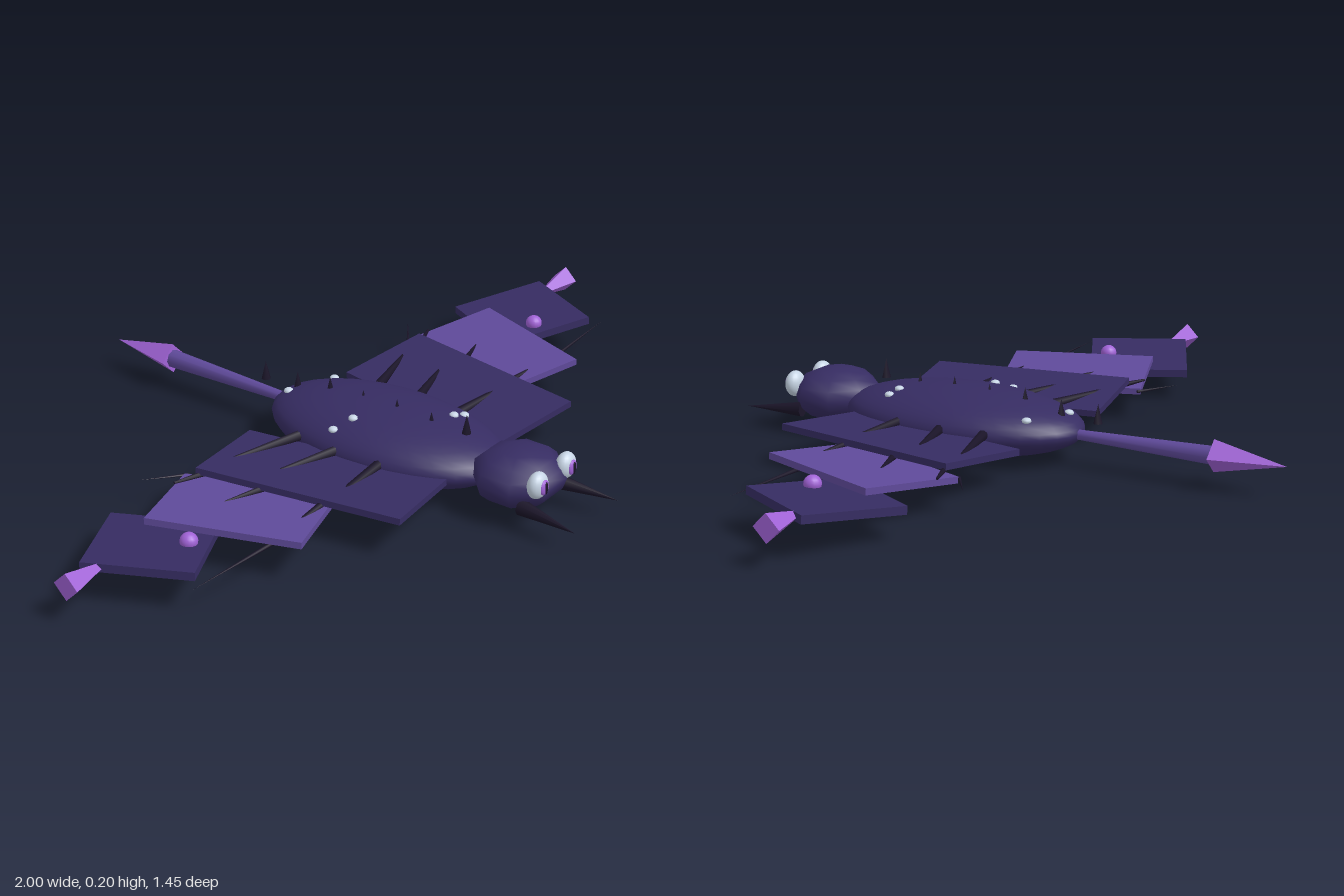
import * as THREE from 'three';

const mat = (name, color) => {
  const m = new THREE.MeshStandardMaterial({ color });
  m.name = name;
  return m;
};

export function createModel() {
  const model = new THREE.Group();
  model.name = 'wingedRay';
  const skin = mat('darkViolet', 0x362c62);
  const membrane = mat('midViolet', 0x5f4a9a);
  const accent = mat('brightPurple', 0xa062d6);
  const thorn = mat('nearBlack', 0x1a1428);
  const pale = mat('paleGrey', 0xc6d4e4);

  const add = (name, geo, material, pos = [0, 0, 0]) => {
    const mesh = new THREE.Mesh(geo, material);
    mesh.name = name;
    mesh.position.set(...pos);
    model.add(mesh);
    return mesh;
  };
  const ellipsoid = (name, material, pos, radii, w = 32, h = 20) => {
    const mesh = add(name, new THREE.SphereGeometry(1, w, h), material, pos);
    mesh.scale.set(...radii);
    return mesh;
  };
  // Tapered rod running from point a (radius ra) to point b (radius rb)
  const rod = (name, material, a, b, ra, rb, sides = 8) => {
    const start = new THREE.Vector3(...a), end = new THREE.Vector3(...b);
    const dir = end.clone().sub(start);
    let geo = new THREE.CylinderGeometry(rb, ra, dir.length(), sides);
    if (sides < 6) {
      geo = geo.toNonIndexed();
      geo.computeVertexNormals();
    }
    const mesh = add(name, geo, material, start.add(end).multiplyScalar(0.5).toArray());
    mesh.quaternion.setFromUnitVectors(new THREE.Vector3(0, 1, 0), dir.normalize());
    return mesh;
  };

  // Body, throat patch and head
  ellipsoid('body', skin, [0, 0.085, 0.137], [0.18, 0.08, 0.325]);
  ellipsoid('throatPatch', membrane, [0, 0.025, 0.31], [0.085, 0.012, 0.035], 20, 12);
  const headGeo = new THREE.SphereGeometry(1, 8, 8).rotateY(Math.PI / 8);
  add('head', headGeo, skin, [0, 0.097, 0.513]).scale.set(0.118, 0.068, 0.112);

  // Tail and its barb
  rod('tail', membrane, [0, 0.083, -0.15], [0, 0.083, -0.56], 0.012, 0.024);
  rod('tailBarb', accent, [0, 0.083, -0.54], [0, 0.083, -0.725], 0.04, 0, 4);

  // Row of thorns along the back: [z, tip height]
  [[0.365, 0.203], [0.265, 0.18], [0.165, 0.183], [0.065, 0.177],
    [-0.035, 0.181], [-0.135, 0.166], [-0.235, 0.166]].forEach(([z, top]) =>
    rod('backThorn', thorn, [0, top - 0.048, z], [0, top, z], 0.012, 0, 6));

  // Pale spots resting on the back
  [[-0.03, -0.14], [0.09, -0.09], [-0.14, 0.08], [-0.095, 0.105],
    [0.065, 0.285], [0.095, 0.295]].forEach(([x, z]) => {
    const fall = 1 - (x / 0.18) ** 2 - ((z - 0.137) / 0.325) ** 2;
    ellipsoid('backSpot', pale, [x, 0.085 + 0.08 * Math.sqrt(fall), z], [0.012, 0.008, 0.012], 10, 8);
  });

  // Wing plates: [name, material, x, y, z, width, thickness, depth, yaw]
  const plates = [
    ['InnerWing', skin, 0.277, 0.092, 0.15, 0.26, 0.016, 0.525, 0.174],
    ['MiddleWing', membrane, 0.51, 0.09, 0.099, 0.26, 0.016, 0.37, 0.345],
    ['OuterWing', skin, 0.747, 0.087, 0.037, 0.26, 0.02, 0.256, 0.47],
  ];
  // Finger bones: [x, y, z of the root, x, y, z of the tip, root and tip radius]
  const bones = [
    [0.16, 0.096, -0.01, 0.36, 0.096, -0.065, 0.013, 0.006],
    [0.16, 0.096, 0.108, 0.36, 0.096, 0.054, 0.013, 0.006],
    [0.16, 0.096, 0.228, 0.36, 0.096, 0.242, 0.013, 0.006],
    [0.4, 0.094, -0.062, 0.51, 0.094, -0.1, 0.009, 0.003],
    [0.4, 0.094, 0.083, 0.51, 0.094, 0.05, 0.009, 0.003],
    [0.37, 0.094, 0.232, 0.51, 0.094, 0.24, 0.009, 0.003],
    [0.44, 0.08, -0.115, 0.537, 0.085, -0.184, 0.004, 0],
    [0.54, 0.08, 0.237, 0.84, 0.09, 0.23, 0.006, 0],
  ];

  for (const s of [1, -1]) {
    const side = s > 0 ? 'left' : 'right';
    for (const [name, m, x, y, z, w, t, d, yaw] of plates) {
      const plate = add(side + name, new THREE.BoxGeometry(w, t, d), m, [s * x, y, z]);
      plate.rotation.set(0, -s * yaw, s * 0.09);
    }
    for (const [x0, y0, z0, x1, y1, z1, r0, r1] of bones)
      rod(side + 'WingBone', thorn, [s * x0, y0, z0], [s * x1, y1, z1], r0, r1);

    // Flared wing tip and wing bump
    rod(side + 'WingTip', accent, [s * 0.85, 0.097, 0.015], [s, 0.097, 0.015], 0, 0.034, 4);
    ellipsoid(side + 'WingBump', accent, [s * 0.7, 0.102, 0.105], [0.021, 0.02, 0.021], 16, 10);

    // Eye with iris and slit pupil
    ellipsoid(side + 'Eye', pale, [s * 0.06, 0.122, 0.602], [0.031, 0.033, 0.022], 20, 14);
    ellipsoid(side + 'Iris', accent, [s * 0.06, 0.122, 0.62], [0.016, 0.019, 0.007], 16, 10);
    ellipsoid(side + 'Pupil', thorn, [s * 0.06, 0.122, 0.626], [0.005, 0.016, 0.003], 10, 8);

    // Mouth horn pointing forward
    rod(side + 'MouthHorn', thorn, [s * 0.077, 0.062, 0.57], [s * 0.094, 0.054, 0.727], 0.02, 0);
  }
  return model;
}
